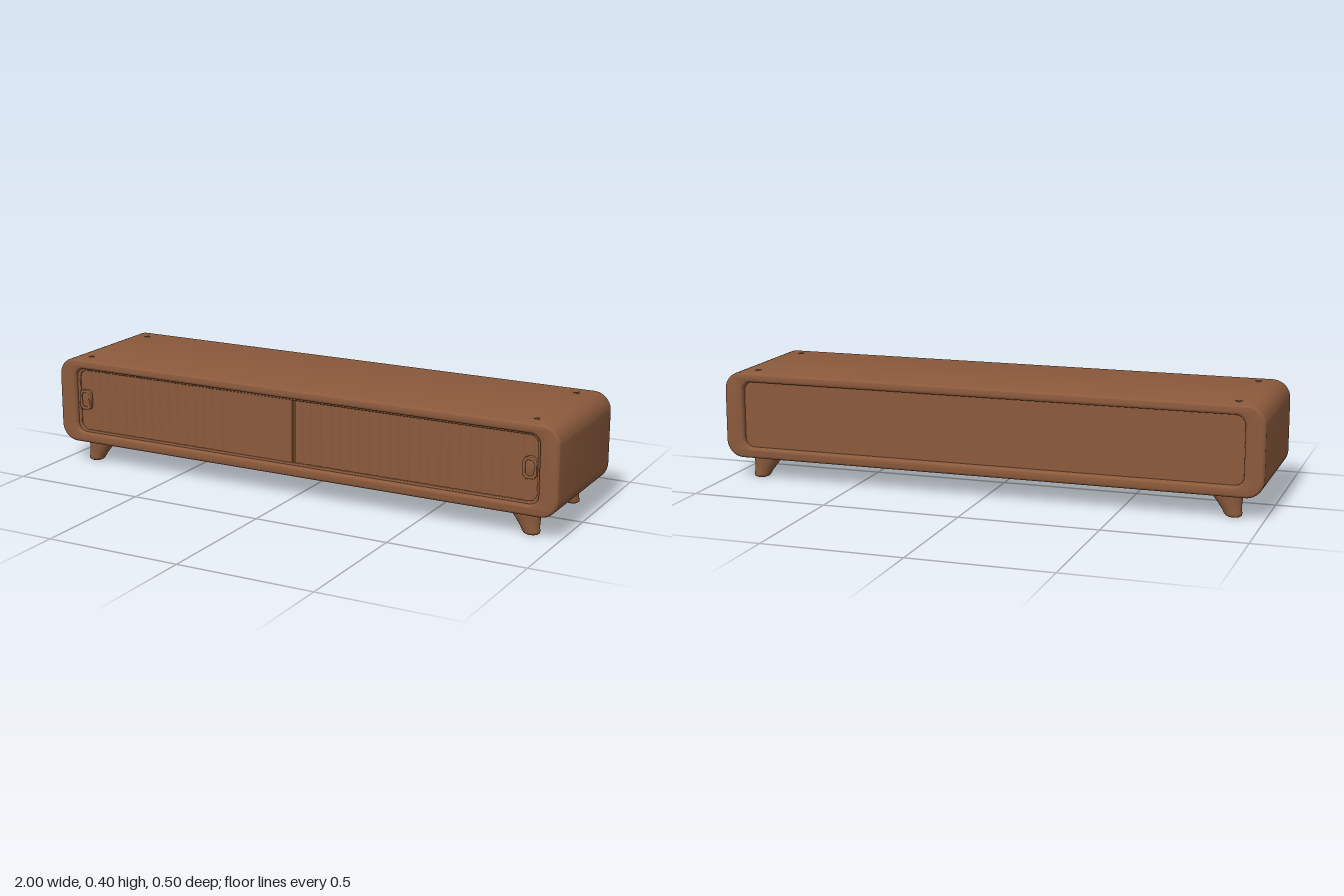
import * as THREE from 'three';
import { toCreasedNormals } from 'three/addons/utils/BufferGeometryUtils.js';

const wood = new THREE.MeshStandardMaterial({ color: 0x8b5a3c });
wood.name = 'walnut wood';

// Rounded rectangle centred on (0, cy)
function roundedRect(w, h, r, cy, Type = THREE.Shape) {
  const s = new Type(), x = w / 2, b = cy - h / 2, t = cy + h / 2;
  s.moveTo(-x + r, b);
  s.lineTo(x - r, b);
  s.absarc(x - r, b + r, r, -Math.PI / 2, 0);
  s.lineTo(x, t - r);
  s.absarc(x - r, t - r, r, 0, Math.PI / 2);
  s.lineTo(-x + r, t);
  s.absarc(-x + r, t - r, r, Math.PI / 2, Math.PI);
  s.lineTo(-x, b + r);
  s.absarc(-x + r, b + r, r, Math.PI, Math.PI * 1.5);
  return s;
}

// Extrusion with rounded edges, total thickness from z0 to z1
function bevelled(shape, z0, z1, bevel) {
  const g = new THREE.ExtrudeGeometry(shape, {
    depth: z1 - z0 - 2 * bevel, bevelEnabled: true, bevelThickness: bevel,
    bevelSize: bevel, bevelOffset: -bevel, bevelSegments: 3, curveSegments: 10,
  });
  g.translate(0, 0, z0 + bevel);
  return toCreasedNormals(g, 0.7);
}

function add(parent, geometry, name, x = 0, y = 0, z = 0) {
  const mesh = new THREE.Mesh(geometry, wood);
  mesh.name = name;
  mesh.position.set(x, y, z);
  parent.add(mesh);
  return mesh;
}

// Sliding door with vertical ribs between x0 and x1, optionally smooth past flatFrom
function ribbedDoor(x0, x1, z, flatFrom = Infinity) {
  const pitch = 0.038, steps = Math.round((x1 - x0) / pitch * 8);
  const s = new THREE.Shape();
  s.moveTo(x0, -(z - 0.014));
  for (let i = 0; i <= steps; i++) {
    const x = x0 + (x1 - x0) * i / steps;
    const amp = x > flatFrom ? 0.0008 : 0.0022;
    s.lineTo(x, -(z + amp * Math.cos((x - x0) / pitch * Math.PI * 2)));
  }
  s.lineTo(x1, -(z - 0.014));
  const g = new THREE.ExtrudeGeometry(s, { depth: 0.25, bevelEnabled: false });
  g.rotateX(-Math.PI / 2);
  g.translate(0, 0.118, 0);
  return toCreasedNormals(g, 0.7);
}

// Splayed tapering leg, lofted by leaning a cylinder toward the corner
function legGeometry() {
  const h = 0.085;
  const profile = [[0, 0], [0.7, 0], [0.92, 0.004], [1, 0.012], [1.04, 0.025],
    [1.25, 0.05], [1.5, 0.075], [1.55, h]].map(p => new THREE.Vector2(...p));
  const g = new THREE.LatheGeometry(profile, 24);
  const p = g.attributes.position;
  for (let i = 0; i < p.count; i++) {
    const t = p.getY(i) / h;
    p.setX(i, p.getX(i) * (0.031 + 0.007 * t) + 0.89 - 0.03 * t);
    p.setZ(i, p.getZ(i) * 0.0265 + 0.188 - 0.01 * t);
  }
  g.computeVertexNormals();
  return g;
}

export function createModel() {
  const model = new THREE.Group();
  model.name = 'lowSideboard';

  // Cabinet shell, open at front and back
  const outline = roundedRect(2, 0.32, 0.065, 0.24);
  outline.holes.push(roundedRect(1.86, 0.246, 0.035, 0.242, THREE.Path));
  add(model, bevelled(outline, -0.25, 0.25, 0.01), 'cabinetShell');

  // Thin inner lip around the doors
  const lip = roundedRect(1.88, 0.266, 0.04, 0.242);
  lip.holes.push(roundedRect(1.84, 0.23, 0.03, 0.242, THREE.Path));
  add(model, bevelled(lip, 0.215, 0.235, 0.003), 'doorLip');

  // Recessed back
  add(model, new THREE.BoxGeometry(1.9, 0.27, 0.012), 'backPanel', 0, 0.242, -0.222);

  // Tambour doors, one running just behind the other
  const doors = new THREE.Group();
  doors.name = 'doors';
  model.add(doors);
  add(doors, ribbedDoor(-0.935, -0.275, 0.229), 'leftDoor');
  add(doors, ribbedDoor(-0.273, -0.008, 0.231, -0.28), 'leftDoorPanel');
  add(doors, ribbedDoor(0.002, 0.935, 0.226), 'rightDoor');
  add(doors, new THREE.BoxGeometry(1.86, 0.25, 0.006), 'doorBacking', 0, 0.242, 0.21);

  // Pulls: a raised rim with a dished plate
  for (const side of [-1, 1]) {
    const pull = new THREE.Group();
    pull.name = side < 0 ? 'rightPull' : 'leftPull';
    pull.position.set(side * 0.894, 0.245, 0);
    const rim = roundedRect(0.05, 0.076, 0.019, 0);
    rim.holes.push(roundedRect(0.03, 0.054, 0.012, 0, THREE.Path));
    add(pull, bevelled(rim, 0.22, 0.243, 0.003), 'pullRim');
    add(pull, bevelled(roundedRect(0.036, 0.06, 0.014, 0), 0.22, 0.238, 0.002), 'pullPlate');
    model.add(pull);
  }

  // Legs and the small corner pegs showing on the top
  const leg = legGeometry();
  const peg = new THREE.CylinderGeometry(0.013, 0.013, 0.004, 3);
  for (const sx of [-1, 1]) for (const sz of [-1, 1]) {
    const g = leg.clone();
    // Mirror, keeping faces outward
    g.scale(sx, 1, sz);
    if (sx * sz < 0) {
      const index = g.index.array;
      for (let i = 0; i < index.length; i += 3) {
        [index[i], index[i + 1]] = [index[i + 1], index[i]];
      }
    }
    g.computeVertexNormals();
    add(model, g, (sz > 0 ? 'front' : 'back') + (sx > 0 ? 'Left' : 'Right') + 'Leg');
    add(model, peg, 'topPeg', sx * 0.895, 0.4, sz * 0.185).rotation.y = sx * 0.8;
  }
  return model;
}
